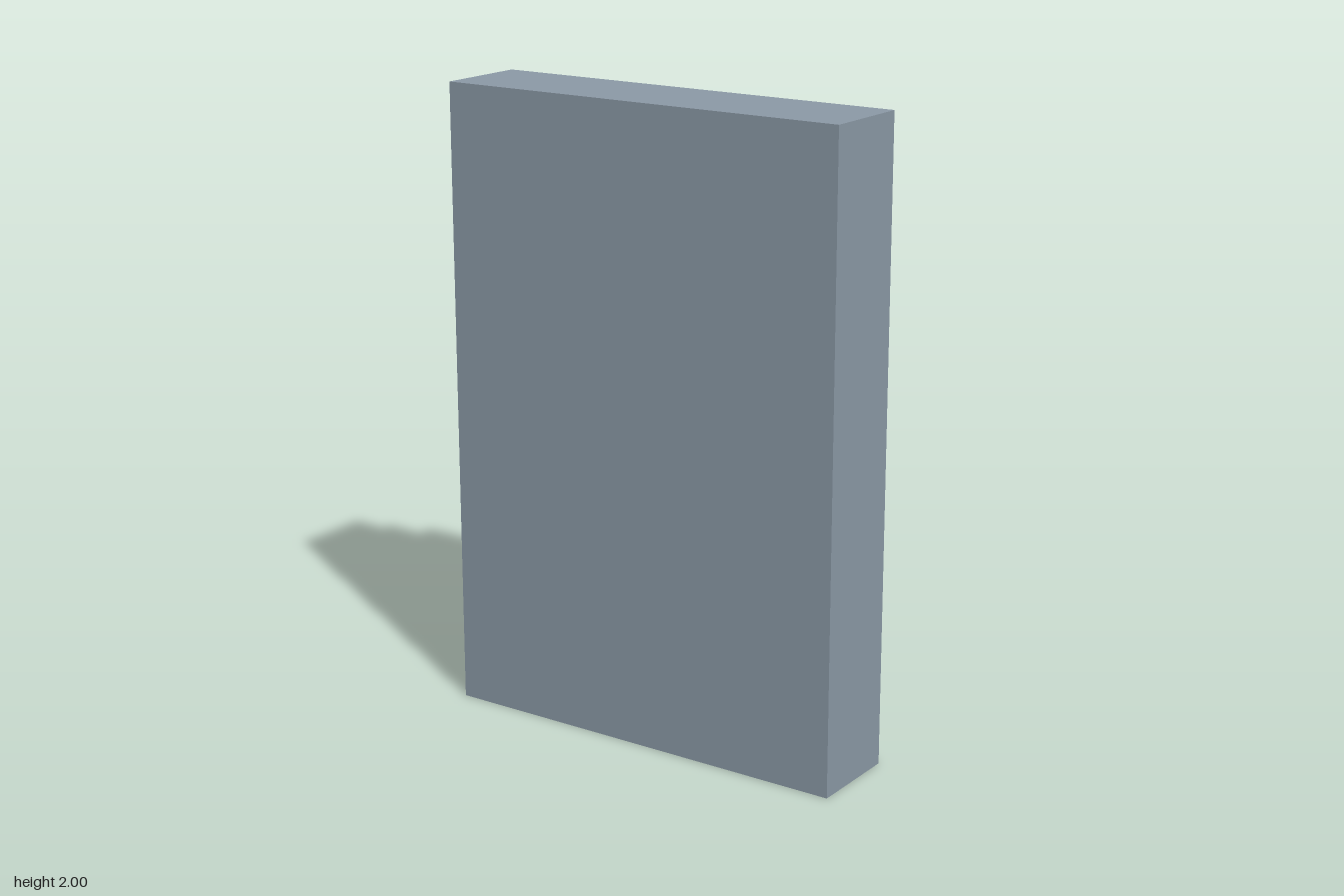
import * as THREE from 'three';

const mat = (color) => new THREE.MeshStandardMaterial({ color });

export function createModel() {
  const model = new THREE.Group();
  model.name = 'breakerPanel';

  const steel = mat(0x8c9aa7);
  const navy = mat(0x1f293b);
  const pale = mat(0xcbd3d6);
  const blue = mat(0x326edc);
  const black = mat(0x14181c);

  // Box given by its centre x, y, its size, and its z range from front to back
  function box(name, material, x, y, w, h, zFront, zBack, parent = model) {
    const mesh = new THREE.Mesh(new THREE.BoxGeometry(w, h, zFront - zBack), material);
    mesh.position.set(x, y, (zFront + zBack) / 2);
    mesh.name = name;
    parent.add(mesh);
    return mesh;
  }

  // Housing and the dark plate held just behind it
  box('cabinet', steel, 0, 1, 1.373, 2, 0.245, -0.057);
  box('mountingPlate', navy, 0, 1.002, 1.22, 1.826, -0.063, -0.125);

  // Wide block across the top
  box('headerBlock', pale, 0, 1.847, 0.872, 0.186, -0.125, -0.174);

  // Two columns of seven breakers; the top two rows have blue switches
  for (let row = 0; row < 7; row++) {
    const y = 1.64 - row * 0.2128;
    for (const side of [1, -1]) {
      const breaker = new THREE.Group();
      breaker.name = `${side > 0 ? 'left' : 'right'}Breaker${row + 1}`;
      box('breakerBody', pale, side * 0.295, y, 0.436, 0.148, -0.125, -0.195, breaker);
      box('breakerSwitch', row < 2 ? blue : black, side * 0.176, y, 0.074, 0.074, -0.195, -0.245, breaker);
      model.add(breaker);
    }
  }
  return model;
}
